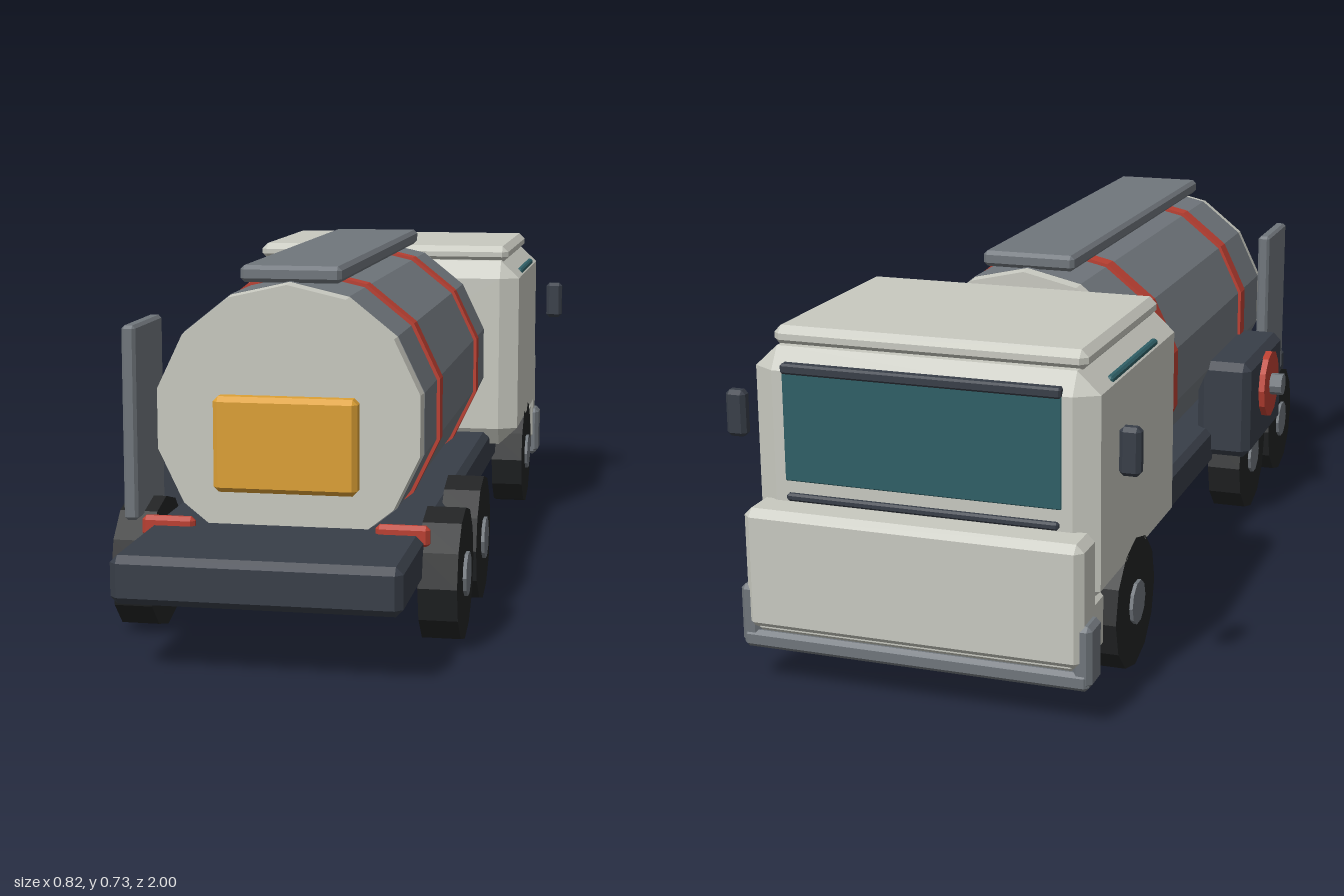
import * as THREE from 'three';
import { ConvexGeometry } from 'three/addons/geometries/ConvexGeometry.js';

const mat = (color) => new THREE.MeshStandardMaterial({ color, flatShading: true });
const cream = mat(0xc8c9c0), steel = mat(0x70767c), dark = mat(0x383e48), tyre = mat(0x222425);
const red = mat(0xbb4032), amber = mat(0xdda035), glass = mat(0x2f5f66);

// Box given by its extents, with all edges chamfered by c (number or [x, y, z])
function chamferBox([x0, x1], [y0, y1], [z0, z1], c) {
  const b = Array.isArray(c) ? c : [c, c, c];
  const h = [(x1 - x0) / 2, (y1 - y0) / 2, (z1 - z0) / 2];
  const pts = [];
  for (const sx of [-1, 1]) for (const sy of [-1, 1]) for (const sz of [-1, 1]) {
    for (let face = 0; face < 3; face++) {
      const p = h.map((v, i) => (i === face ? v : v - b[i]));
      pts.push(new THREE.Vector3(sx * p[0], sy * p[1], sz * p[2]));
    }
  }
  const g = new ConvexGeometry(pts);
  g.translate((x0 + x1) / 2, (y0 + y1) / 2, (z0 + z1) / 2);
  return g;
}

export function createModel() {
  const model = new THREE.Group();
  model.name = 'tankerTruck';
  const add = (name, geometry, material) => {
    const mesh = new THREE.Mesh(geometry, material);
    mesh.name = name;
    model.add(mesh);
    return mesh;
  };
  const box = (name, x, y, z, c, material) => add(name, chamferBox(x, y, z, c), material);
  // Cylinder lying along x
  const axle = (name, r, x0, x1, y, z, sides, material) => {
    const g = new THREE.CylinderGeometry(r, r, x1 - x0, sides).rotateZ(Math.PI / 2);
    add(name, g.translate((x0 + x1) / 2, y, z), material);
  };
  // Cylinder lying along z, sharing the tank axis
  const barrel = (name, rNear, rFar, z0, z1, material) => {
    const g = new THREE.CylinderGeometry(rNear, rFar, z1 - z0, 14).rotateX(Math.PI / 2);
    add(name, g.translate(0, 0.437, (z0 + z1) / 2), material);
  };

  // Chassis
  box('chassis', [-0.272, 0.272], [0.14, 0.232], [-0.92, 1], 0.014, dark);

  // Tank with end caps, bands and walkway
  barrel('tank', 0.27, 0.27, -0.335, 0.672, steel);
  barrel('rearCap', 0.266, 0.269, 0.672, 0.703, cream);
  barrel('frontCap', 0.269, 0.266, -0.362, -0.335, cream);
  for (const z of [0.483, -0.143]) barrel('tankBand', 0.277, 0.277, z - 0.02, z + 0.02, red);
  box('walkway', [-0.1, 0.1], [0.703, 0.736], [-0.335, 0.67], 0.008, steel);
  box('rearPanel', [-0.142, 0.142], [0.3, 0.488], [0.69, 0.735], 0.01, amber);

  // Hose reel and upright panel on the right side
  box('reelCabinet', [-0.362, -0.235], [0.163, 0.392], [0.18, 0.53], 0.018, dark);
  axle('reelDisc', 0.08, -0.376, -0.36, 0.305, 0.355, 12, red);
  axle('reelHub', 0.026, -0.405, -0.37, 0.305, 0.355, 10, steel);
  box('uprightPanel', [-0.318, -0.29], [0.24, 0.623], [0.55, 0.745], 0.006, steel);

  // Cab
  box('cab', [-0.34, 0.34], [0.2, 0.656], [-0.93, -0.388], [0.045, 0.042, 0.027], cream);
  box('cabRoof', [-0.31, 0.31], [0.65, 0.69], [-0.895, -0.427], 0.014, cream);
  box('windshield', [-0.275, 0.275], [0.4, 0.625], [-0.932, -0.9], 0.003, glass);
  box('sunStrip', [-0.275, 0.275], [0.61, 0.63], [-0.938, -0.905], 0.004, dark);
  box('wiper', [-0.27, 0.27], [0.363, 0.378], [-0.94, -0.92], 0.004, dark);

  // Nose and bumper
  box('nose', [-0.335, 0.335], [0.12, 0.36], [-1, -0.908], 0.015, cream);
  box('lowerApron', [-0.33, 0.33], [0.102, 0.235], [-0.99, -0.835], 0.02, cream);
  box('bumper', [-0.345, 0.345], [0.08, 0.115], [-0.995, -0.925], 0.008, steel);

  // Mirrored details and wheels
  for (const s of [-1, 1]) {
    const side = (a, b) => (s > 0 ? [a, b] : [-b, -a]);
    box('sideWindow', side(0.31, 0.337), [0.43, 0.627], [-0.825, -0.525], 0.004, glass);
    box('mirror', side(0.371, 0.412), [0.466, 0.558], [-0.902, -0.873], 0.008, dark);
    box('bumperCorner', side(0.312, 0.35), [0.085, 0.205], [-0.992, -0.925], 0.009, steel);
    box('tailLight', side(0.178, 0.284), [0.207, 0.25], [0.72, 0.742], 0.008, red);
    for (const z of [0.632, 0.32, -0.675]) {
      axle('wheel', 0.132, ...side(0.264, 0.34), 0.135, z, 12, tyre);
      axle('wheelHub', 0.044, ...side(0.3, 0.347), 0.135, z, 10, steel);
    }
  }

  // Ground the wheels
  model.children.forEach((m) => { m.position.y = -0.003; });
  return model;
}
